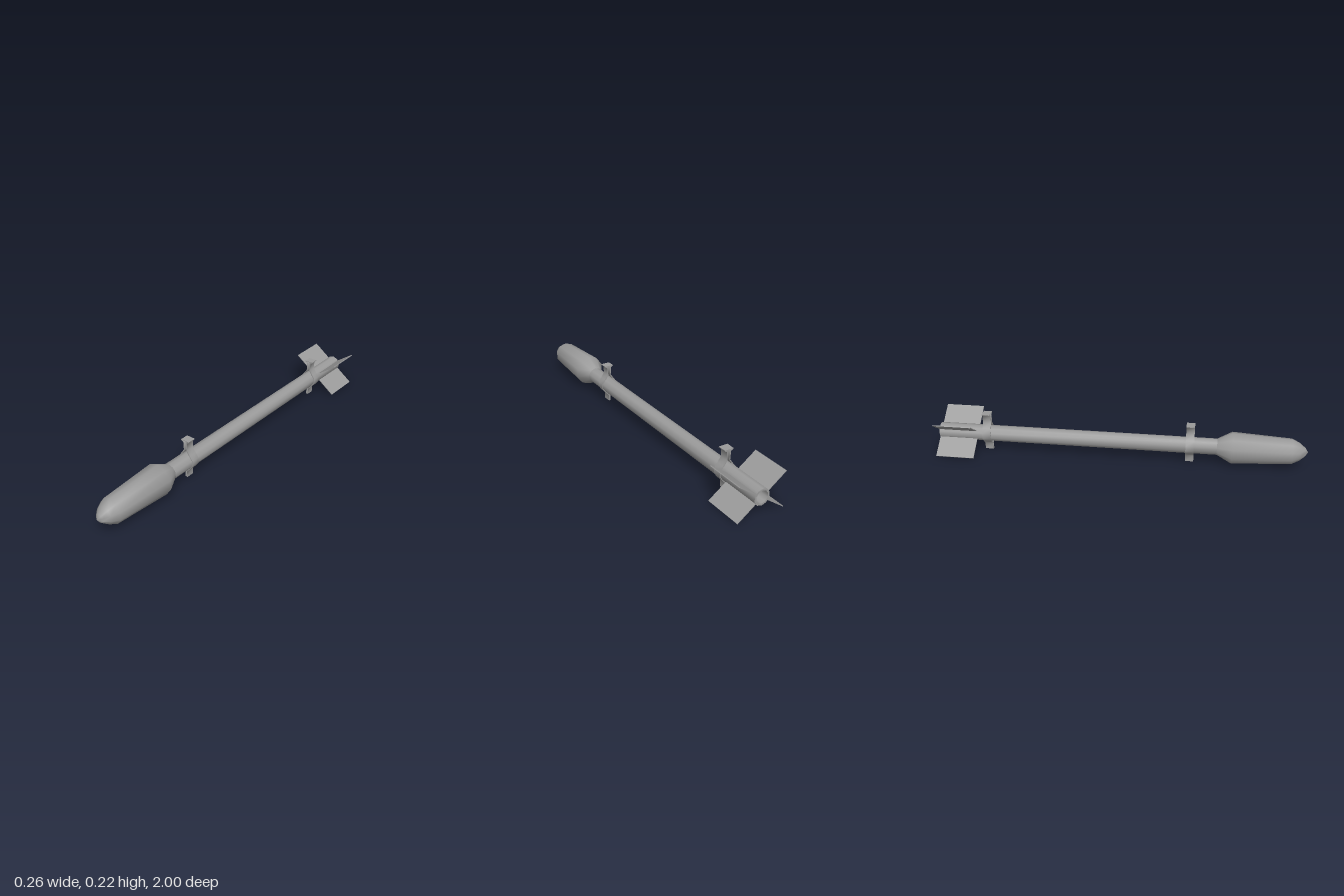
import * as THREE from 'three';
import { toCreasedNormals } from 'three/addons/utils/BufferGeometryUtils.js';

const AXIS_Y = 0.098;
const SIDES = 10;
const CREASE = 1.2;

export function createModel() {
  const model = new THREE.Group();
  model.name = 'rocket';
  const grey = new THREE.MeshStandardMaterial({ color: 0x9b9b9b, side: THREE.DoubleSide });

  const add = (name, geometry, parent = model) => {
    const mesh = new THREE.Mesh(geometry, grey);
    mesh.name = name;
    parent.add(mesh);
    return mesh;
  };

  // Ten-sided body of revolution along z from [radius, z] pairs
  const turned = (name, profile) => {
    const geo = new THREE.LatheGeometry(profile.map(([r, z]) => new THREE.Vector2(r, z)), SIDES);
    geo.rotateX(Math.PI / 2);
    add(name, toCreasedNormals(geo, CREASE)).position.y = AXIS_Y;
  };

  // Warhead: short nose, long taper, sloped shoulder
  turned('warhead', [
    [0.043, 0.52], [0.0855, 0.6], [0.068, 0.915], [0.048, 0.955], [0.023, 0.985], [0, 1],
  ]);

  // Motor tube, hollow at the tail
  turned('motorTube', [[0, -0.6], [0.034, -0.6], [0.034, -1], [0.044, -1], [0.044, 0.53]]);

  // Four tail fins in an X
  const fins = new THREE.Group();
  fins.name = 'tailFins';
  fins.position.set(0, AXIS_Y, -0.895);
  model.add(fins);
  const tilt = Math.atan2(0.094, 0.13);
  for (const angle of [tilt, Math.PI - tilt, Math.PI + tilt, -tilt]) {
    const geo = new THREE.BoxGeometry(0.123, 0.004, 0.21);
    geo.translate(0.0995, 0, 0);
    add('fin', geo, fins).rotation.z = angle;
  }

  // Launch bands: two strap halves swept round the tube, with a flared lug on top
  const arc = (r, degrees) => degrees.map((d) => {
    const a = THREE.MathUtils.degToRad(d);
    return [r * Math.cos(a), AXIS_Y + r * Math.sin(a)];
  });
  const halfStrap = [
    [0.006, 0], [0.006, 0.035], ...arc(0.048, [-54, -18, 18, 54]),
    [0.01, 0.163], [0.012, 0.207], [0.025, 0.215], [0.025, 0.219],
    [0.021, 0.216], [0.008, 0.209], [0.006, 0.16],
    ...arc(0.042, [54, 18, -18, -54]), [0.002, 0.038], [0.002, 0],
  ];
  const BAND_DEPTH = 0.045;
  for (const [name, z] of [['frontBand', 0.378], ['rearBand', -0.734]]) {
    const band = new THREE.Group();
    band.name = name;
    band.position.z = z;
    model.add(band);
    for (const side of [1, -1]) {
      const shape = new THREE.Shape(halfStrap.map(([x, y]) => new THREE.Vector2(side * x, y)));
      const geo = new THREE.ExtrudeGeometry(shape, { depth: BAND_DEPTH, bevelEnabled: false });
      geo.translate(0, 0, -BAND_DEPTH / 2);
      add(side > 0 ? 'leftStrap' : 'rightStrap', toCreasedNormals(geo, CREASE), band);
    }
    add('lugPlate', new THREE.BoxGeometry(0.05, 0.003, BAND_DEPTH), band).position.y = 0.2175;
  }

  return model;
}
